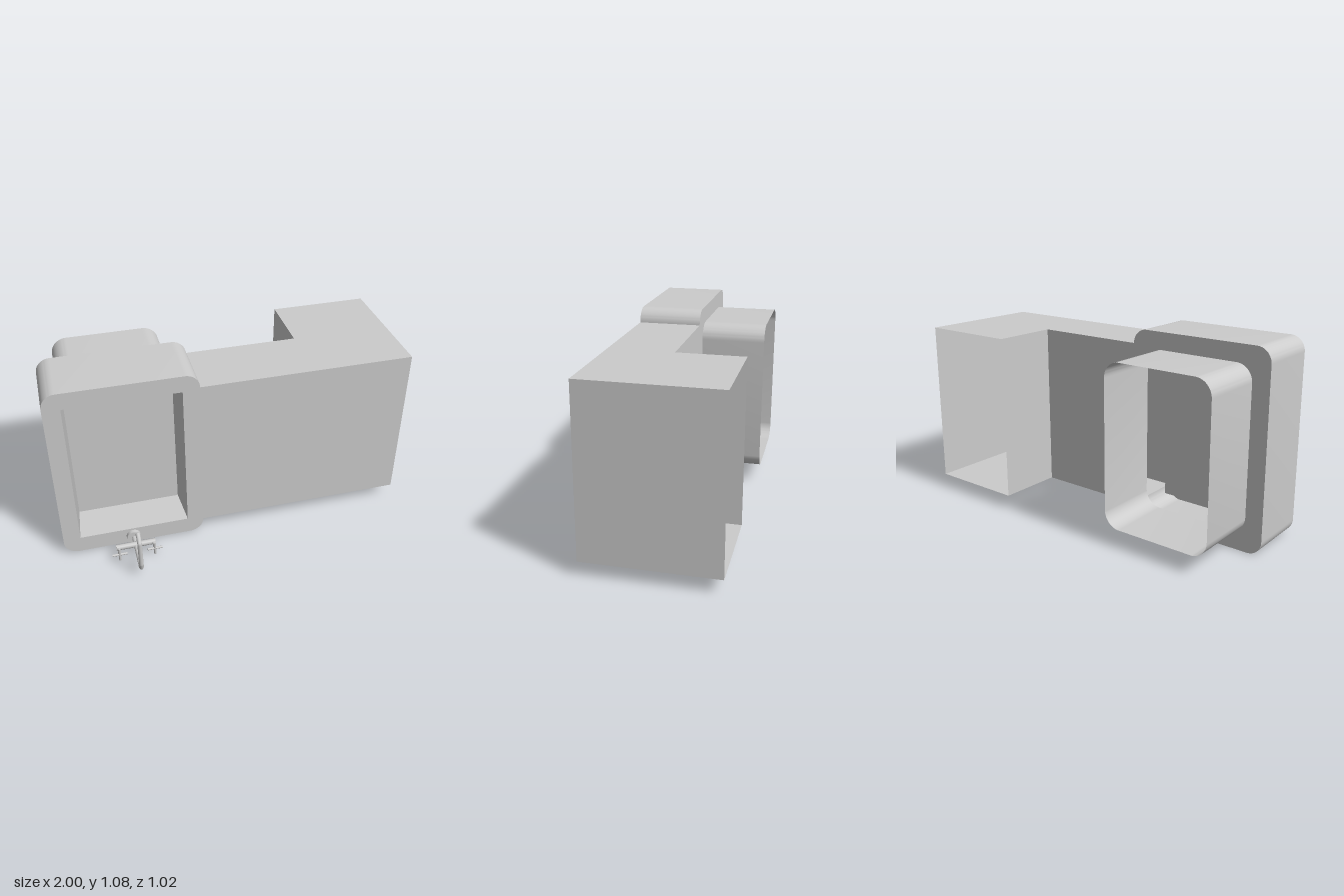
import * as THREE from 'three';
import { toCreasedNormals } from 'three/addons/utils/BufferGeometryUtils.js';

const FRONT = 0.21, MIDDLE = -0.145, BACK = -0.51;
const shell = new THREE.MeshStandardMaterial({ color: 0xcccccc, side: THREE.DoubleSide });
const metal = new THREE.MeshStandardMaterial({ color: 0xcccccc });

function add(parent, name, geometry, material, x = 0, y = 0, z = 0) {
  const mesh = new THREE.Mesh(geometry, material);
  mesh.name = name;
  mesh.position.set(x, y, z);
  parent.add(mesh);
  return mesh;
}

// Closed band of quads joining one loop of points to another of equal length
function band(loopA, zA, loopB, zB) {
  const pos = [];
  loopA.forEach((p, i) => {
    const j = (i + 1) % loopA.length;
    const q = loopA[j], r = loopB[i], s = loopB[j];
    if (p.distanceTo(q) < 1e-6) return;
    pos.push(p.x, p.y, zA, r.x, r.y, zB, q.x, q.y, zA);
    pos.push(q.x, q.y, zA, r.x, r.y, zB, s.x, s.y, zB);
  });
  const g = new THREE.BufferGeometry();
  g.setAttribute('position', new THREE.Float32BufferAttribute(pos, 3));
  return toCreasedNormals(g, 0.6);
}

const rectangle = (x0, y0, x1, y1) =>
  [[x0, y0], [x1, y0], [x1, y1], [x0, y1]].map(([x, y]) => new THREE.Vector2(x, y));

// Loop with four rounded corners
function roundedRectangle(x0, y0, x1, y1, r) {
  const path = new THREE.Path();
  path.absarc(x1 - r, y1 - r, r, 0, Math.PI / 2);
  path.absarc(x0 + r, y1 - r, r, Math.PI / 2, Math.PI);
  path.absarc(x0 + r, y0 + r, r, Math.PI, Math.PI * 1.5);
  path.absarc(x1 - r, y0 + r, r, Math.PI * 1.5, Math.PI * 2);
  return path.getPoints(8);
}

// Rounded head on the left, straight arm running out to xEnd
function bodyOutline(xEnd) {
  const r = 0.08, s = new THREE.Shape();
  s.moveTo(xEnd, 0.08);
  s.lineTo(xEnd, 1);
  s.absarc(-0.19 - r, 1, r, 0, Math.PI / 2);
  s.absarc(-1 + r, 1, r, Math.PI / 2, Math.PI);
  s.absarc(-1 + r, r, r, Math.PI, Math.PI * 1.5);
  s.absarc(-0.19 - r, r, r, Math.PI * 1.5, Math.PI * 2);
  return s.getPoints(8);
}

function panel(outline, hole) {
  const s = new THREE.Shape(outline);
  if (hole) s.holes.push(new THREE.Path(hole));
  return new THREE.ShapeGeometry(s);
}

function cylinder(radius, length, axis, sides = 12) {
  const g = new THREE.CylinderGeometry(radius, radius, length, sides);
  if (axis === 'x') g.rotateZ(Math.PI / 2);
  if (axis === 'z') g.rotateX(Math.PI / 2);
  return g;
}

function createFaucet() {
  const faucet = new THREE.Group();
  faucet.name = 'faucet';
  faucet.position.set(-0.605, 0.048, 0);
  add(faucet, 'flange', cylinder(0.041, 0.022, 'z', 20), metal, 0, 0, 0.221);

  // Spout: straight pipe with chamfered bends
  const path = new THREE.CurvePath();
  const points = [[0, 0.22], [0, 0.46], [0.016, 0.488], [0.05, 0.498], [0.207, 0.498], [0.232, 0.48], [0.24, 0.456]]
    .map(([y, z]) => new THREE.Vector3(0, y, z));
  for (let i = 1; i < points.length; i++) path.add(new THREE.LineCurve3(points[i - 1], points[i]));
  add(faucet, 'spout', new THREE.TubeGeometry(path, 60, 0.0125, 10), shell);

  add(faucet, 'crossbar', cylinder(0.017, 0.225, 'x', 8), metal, 0, 0.006, 0.293);
  // Valve stems and cross handles
  for (const side of [-1, 1]) {
    const x = side * 0.1;
    add(faucet, 'valveStem', cylinder(0.008, 0.06, 'z'), metal, x, 0.006, 0.325);
    add(faucet, 'handleBar', cylinder(0.007, 0.084, 'x'), metal, x, 0.006, 0.35);
    add(faucet, 'handleBar', cylinder(0.007, 0.084, 'y'), metal, x, 0.006, 0.35);
  }
  return faucet;
}

export function createModel() {
  const model = new THREE.Group();
  model.name = 'sinkUnit';

  const outline = bodyOutline(1);
  const opening = rectangle(-0.905, 0.1, -0.283, 0.985);
  const floor = rectangle(-0.888, 0.117, -0.3, 0.968);
  const sleeve = roundedRectangle(-0.903, 0.1, -0.283, 0.985, 0.09);
  const wing = rectangle(0.44, 0.08, 1, 1);

  // Hollow body
  add(model, 'frontPanel', panel(outline, opening), shell, 0, 0, FRONT);
  add(model, 'bodySides', band(outline, FRONT, outline, MIDDLE), shell);
  add(model, 'backPanel', panel(bodyOutline(0.44), sleeve), shell, 0, 0, MIDDLE);

  // Deep end of the arm, open at the back
  add(model, 'wingSides', band(wing, MIDDLE, wing, BACK), shell);

  // Tapered basin and the open sleeve behind it
  add(model, 'basinWalls', band(opening, FRONT, floor, 0.01), shell);
  add(model, 'basinFloor', panel(floor), shell, 0, 0, 0.01);
  add(model, 'basinSleeve', band(sleeve, MIDDLE, sleeve, BACK), shell);

  model.add(createFaucet());
  return model;
}
